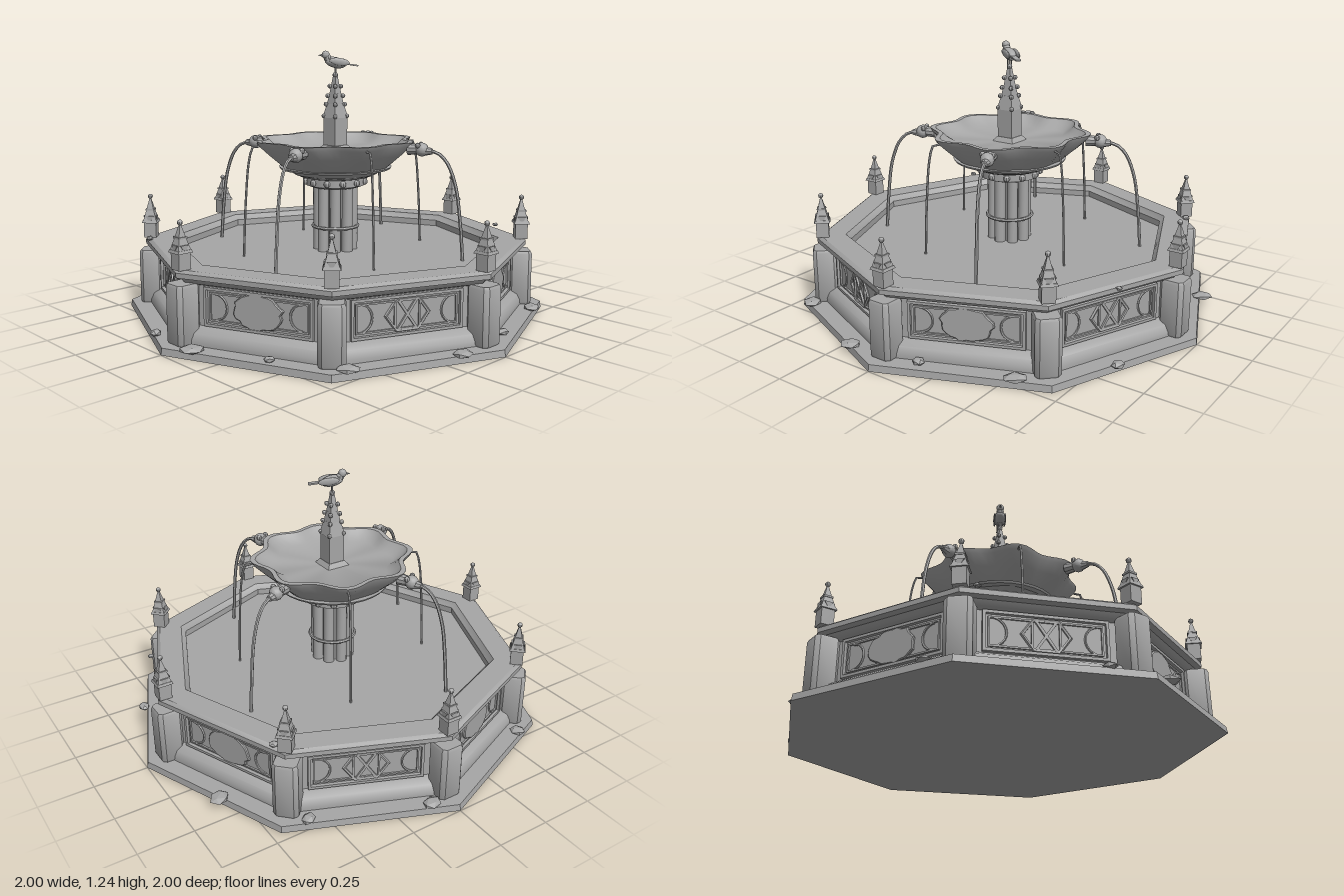
import * as THREE from 'three';
import { toCreasedNormals } from 'three/addons/utils/BufferGeometryUtils.js';

const stone = new THREE.MeshStandardMaterial({ color: 0xa6a6a6 });
stone.name = 'grey stone';
const V = (x, y, z) => new THREE.Vector3(x, y, z);
const OCT = Math.PI / 4, HALF = Math.PI / 8;

let seed = 7;
const rand = () => (seed = (seed * 16807) % 2147483647) / 2147483647;

function add(parent, name, geo, x = 0, y = 0, z = 0, crease = 0.6) {
  const mesh = new THREE.Mesh(toCreasedNormals(geo, crease), stone);
  mesh.name = name;
  mesh.position.set(x, y, z);
  parent.add(mesh);
  return mesh;
}
// Group turned so that its local +z points outward at the given angle
function spoke(parent, name, angle) {
  const g = new THREE.Group();
  g.name = name;
  g.rotation.y = angle;
  parent.add(g);
  return g;
}
const lathe = (pts, sides) => new THREE.LatheGeometry(pts.map(p => new THREE.Vector2(...p)), sides);
const box = (w, h, d) => new THREE.BoxGeometry(w, h, d);
const ball = (r, w = 10, h = 8) => new THREE.SphereGeometry(r, w, h);
// Tapered square block with its flat sides facing the axes
const taper = (top, bottom, h) =>
  new THREE.CylinderGeometry(top * Math.SQRT1_2, bottom * Math.SQRT1_2, h, 4).rotateY(OCT);
const tube = (pts, r, n = 16, sides = 6) =>
  new THREE.TubeGeometry(new THREE.CatmullRomCurve3(pts), n, r, sides);

// Rectangular moulding ring lying in the xy plane
function frame(w, h, t, depth) {
  const rect = (S, a, b) => new S().moveTo(-a, -b).lineTo(a, -b).lineTo(a, b).lineTo(-a, b).closePath();
  const s = rect(THREE.Shape, w / 2, h / 2);
  s.holes.push(rect(THREE.Path, w / 2 - t, h / 2 - t));
  return new THREE.ExtrudeGeometry(s, { depth, bevelEnabled: false });
}

function addPanel(root, angle, tracery) {
  const g = spoke(root, 'wallPanel', angle);
  const z = 0.785, y = 0.19;
  add(g, 'outerFrame', frame(0.5, 0.168, 0.012, 0.018), 0, y, z - 0.002);
  add(g, 'innerFrame', frame(0.455, 0.124, 0.007, 0.01), 0, y, z - 0.002);
  if (tracery) {
    // Hexagonal medallion with crossed bars and pointed arcs
    const ring = add(g, 'medallion', new THREE.TorusGeometry(0.08, 0.007, 5, 6), 0, y, z + 0.004);
    ring.scale.set(1.2, 0.95, 1);
    for (const s of [-1, 1]) {
      add(g, 'crossBar', box(0.011, 0.145, 0.012), 0, y, z + 0.003).rotation.z = s * 0.6;
      add(g, 'mullion', box(0.008, 0.12, 0.01), s * 0.055, y, z + 0.003);
      const arc = add(g, 'sideArc', new THREE.TorusGeometry(0.06, 0.005, 5, 12, Math.PI), s * 0.215, y, z + 0.003);
      arc.rotation.z = s * Math.PI / 2;
    }
  } else {
    // Carved plaque with a ragged edge
    const shape = new THREE.Shape();
    for (let i = 0; i < 28; i++) {
      const a = i / 28 * Math.PI * 2, r = 0.9 + 0.16 * rand();
      shape[i ? 'lineTo' : 'moveTo'](0.11 * r * Math.cos(a), 0.074 * r * Math.sin(a));
    }
    add(g, 'carvedPlaque', new THREE.ExtrudeGeometry(shape,
      { depth: 0.01, bevelSize: 0.004, bevelThickness: 0.004, bevelSegments: 1 }), 0, y, z - 0.002);
    for (const s of [-1, 1]) {
      const arc = add(g, 'sideScroll', new THREE.TorusGeometry(0.055, 0.005, 5, 12, Math.PI), s * 0.2, y, z + 0.003);
      arc.rotation.z = s * Math.PI / 2;
    }
  }
}

// Corner pier with the small turret that stands above it
function addPier(root, angle) {
  const g = spoke(root, 'cornerPier', angle);
  const c = 0.014, w = 0.05 - c, s = new THREE.Shape();
  s.moveTo(-w - c, -w).lineTo(-w, -w - c).lineTo(w, -w - c).lineTo(w + c, -w);
  s.lineTo(w + c, w).lineTo(w, w + c).lineTo(-w, w + c).lineTo(-w - c, w);
  const pier = new THREE.ExtrudeGeometry(s,
    { depth: 0.235, bevelSize: 0.006, bevelThickness: 0.012, bevelSegments: 1 }).rotateX(-Math.PI / 2);
  add(g, 'pier', pier, 0, 0.04, 0.885);
  const t = new THREE.Group();
  t.name = 'turret';
  t.position.set(0, 0.345, 0.89);
  g.add(t);
  add(t, 'shaft', box(0.058, 0.075, 0.058), 0, 0.0375, 0);
  add(t, 'eave', taper(0.066, 0.074, 0.012), 0, 0.078, 0);
  add(t, 'lowerRoof', taper(0.034, 0.062, 0.05), 0, 0.108, 0);
  add(t, 'collar', box(0.042, 0.008, 0.042), 0, 0.134, 0);
  add(t, 'upperRoof', taper(0.008, 0.034, 0.052), 0, 0.16, 0);
  add(t, 'finial', ball(0.012), 0, 0.197, 0);
  for (let i = 0; i < 4; i++)
    add(spoke(t, 'gableSide', i * Math.PI / 2), 'gable',
      new THREE.CylinderGeometry(0.022, 0.022, 0.01, 3).rotateX(-Math.PI / 2).rotateZ(Math.PI), 0, 0.094, 0.026);
}

function addBird(root) {
  const g = spoke(root, 'bird', -0.57);
  g.position.y = 1.18;
  const body = add(g, 'body', ball(0.03, 14, 10));
  body.scale.set(0.95, 0.85, 1.75);
  body.rotation.x = -0.25;
  add(g, 'neck', ball(0.019), 0, 0.02, 0.036);
  add(g, 'head', ball(0.019, 12, 8), 0, 0.036, 0.046);
  add(g, 'beak', new THREE.ConeGeometry(0.008, 0.026, 6).rotateX(Math.PI / 2), 0, 0.034, 0.07);
  add(g, 'tail', box(0.026, 0.007, 0.07), 0, -0.01, -0.073).rotation.x = -0.15;
  for (const s of [-1, 1]) {
    const wing = add(g, 'wing', ball(0.03), s * 0.025, 0.004, -0.015);
    wing.scale.set(0.25, 0.6, 1.7);
    wing.rotation.x = -0.15;
    add(g, 'leg', new THREE.CylinderGeometry(0.003, 0.003, 0.035, 5), s * 0.01, -0.034, 0);
  }
}

export function createModel() {
  const root = new THREE.Group();
  root.name = 'fountain';

  // Octagonal step, moulded wall and pool
  add(root, 'step', new THREE.CylinderGeometry(0.995, 1, 0.03, 8), 0, 0.015, 0);
  add(root, 'poolWall', lathe([[0.91, 0.03], [0.91, 0.05], [0.895, 0.08], [0.865, 0.098], [0.85, 0.102],
    [0.85, 0.276], [0.875, 0.285], [0.89, 0.305], [0.917, 0.312], [0.917, 0.333], [0.9, 0.345],
    [0.785, 0.345], [0.762, 0.32], [0.762, 0.28]], 8));
  add(root, 'poolWater', new THREE.CylinderGeometry(0.77, 0.77, 0.02, 8), 0, 0.28, 0);
  for (let i = 0; i < 8; i++) {
    addPier(root, i * OCT);
    addPanel(root, HALF + i * OCT, i % 2 === 1);
  }

  // Clustered pedestal
  add(root, 'pedestalCore', new THREE.CylinderGeometry(0.07, 0.07, 0.33, 16), 0, 0.445, 0);
  for (let i = 0; i < 8; i++)
    add(spoke(root, 'pedestalColumn', i * OCT), 'column',
      new THREE.CylinderGeometry(0.026, 0.026, 0.32, 12), 0, 0.445, 0.08);
  add(root, 'pedestalBand', new THREE.TorusGeometry(0.108, 0.008, 6, 32).rotateX(Math.PI / 2), 0, 0.405, 0);
  add(root, 'capital', lathe([[0, 0.595], [0.115, 0.595], [0.142, 0.605], [0.142, 0.64], [0.165, 0.645],
    [0.2, 0.66], [0.215, 0.69]], 32));
  for (let i = 0; i < 12; i++)
    add(spoke(root, 'capitalStud', i * Math.PI / 6), 'stud', ball(0.016, 8, 6), 0, 0.622, 0.143);
  add(root, 'ledge', new THREE.CylinderGeometry(0.268, 0.262, 0.01, 32), 0, 0.688, 0);

  // Scalloped upper bowl
  const bowl = lathe([[0.19, 0.655], [0.25, 0.695], [0.31, 0.755], [0.352, 0.8], [0.362, 0.82],
    [0.338, 0.82], [0.318, 0.8], [0.275, 0.775], [0, 0.77]], 64);
  const p = bowl.attributes.position;
  for (let i = 0; i < p.count; i++) {
    const x = p.getX(i), z = p.getZ(i);
    const k = 1 - 0.07 * Math.min(1, Math.max(0, (p.getY(i) - 0.66) / 0.12)) * Math.cos(8 * Math.atan2(x, z));
    p.setX(i, x * k);
    p.setZ(i, z * k);
  }
  add(root, 'upperBowl', bowl);

  // Spouts and falling water
  for (let i = 0; i < 4; i++) {
    const big = spoke(root, 'headSpout', HALF + i * Math.PI / 2);
    add(big, 'neck', new THREE.CylinderGeometry(0.022, 0.028, 0.06, 10).rotateX(Math.PI / 2), 0, 0.79, 0.395);
    add(big, 'head', ball(0.032, 12, 8), 0, 0.79, 0.43);
    add(big, 'snout', new THREE.CylinderGeometry(0.014, 0.022, 0.035, 8).rotateX(Math.PI / 2), 0, 0.784, 0.462);
    for (const s of [-1, 1]) add(big, 'ear', ball(0.013, 8, 6), s * 0.024, 0.81, 0.418);
    add(big, 'waterJet', tube([V(0, 0.785, 0.46), V(0, 0.777, 0.505), V(0, 0.735, 0.55),
      V(0, 0.63, 0.592), V(0, 0.46, 0.617), V(0, 0.285, 0.632)], 0.008, 20));
    const small = spoke(root, 'rimDrip', HALF + OCT + i * Math.PI / 2);
    add(small, 'waterThread', tube([V(0, 0.8, 0.375), V(0, 0.8, 0.405), V(0, 0.74, 0.425),
      V(0, 0.55, 0.444), V(0, 0.285, 0.457)], 0.0055));
  }

  // Central spire
  add(root, 'spireFoot', taper(0.084, 0.12, 0.025), 0, 0.78, 0);
  add(root, 'spireShaft', box(0.08, 0.16, 0.08), 0, 0.845, 0);
  add(root, 'spireShoulder', taper(0.056, 0.086, 0.065), 0, 0.955, 0);
  add(root, 'spireMiddle', taper(0.04, 0.056, 0.05), 0, 1.01, 0);
  add(root, 'spireTop', taper(0.014, 0.04, 0.09), 0, 1.078, 0);
  add(root, 'spireBall', ball(0.013), 0, 1.122, 0);
  add(root, 'perch', new THREE.CylinderGeometry(0.005, 0.005, 0.03, 6), 0, 1.14, 0);
  for (const [y, r] of [[0.93, 0.054], [0.985, 0.044], [1.025, 0.036], [1.07, 0.026]])
    for (let i = 0; i < 4; i++)
      add(spoke(root, 'spireCorner', OCT + i * Math.PI / 2), 'crocket', ball(0.011, 8, 6), 0, y, r);
  addBird(root);

  // Loose stones: x, y, z, size
  for (const [x, y, z, r] of [[-0.41, 0.04, -0.84, 0.048], [0.42, 0.04, -0.84, 0.032], [-0.73, 0.04, -0.59, 0.036],
    [0.75, 0.04, -0.56, 0.05], [-0.93, 0.04, -0.1, 0.042], [0.87, 0.04, -0.16, 0.03], [0.92, 0.04, 0.18, 0.05],
    [-0.74, 0.04, 0.57, 0.036], [0.72, 0.04, 0.63, 0.055], [0.43, 0.04, 0.78, 0.024], [-0.16, 0.04, 0.92, 0.03],
    [0.12, 0.04, 0.93, 0.052], [0.36, 0.345, -0.8, 0.016], [-0.58, 0.35, -0.66, 0.02], [-0.58, 0.35, 0.67, 0.02]]) {
    const rock = add(root, 'looseStone', new THREE.IcosahedronGeometry(r, 0), x, y, z, 0.1);
    rock.scale.set(0.8 + 0.3 * rand(), Math.min(0.6, 0.016 / r), 0.8 + 0.3 * rand());
    rock.rotation.y = rand() * 6;
  }
  return root;
}
